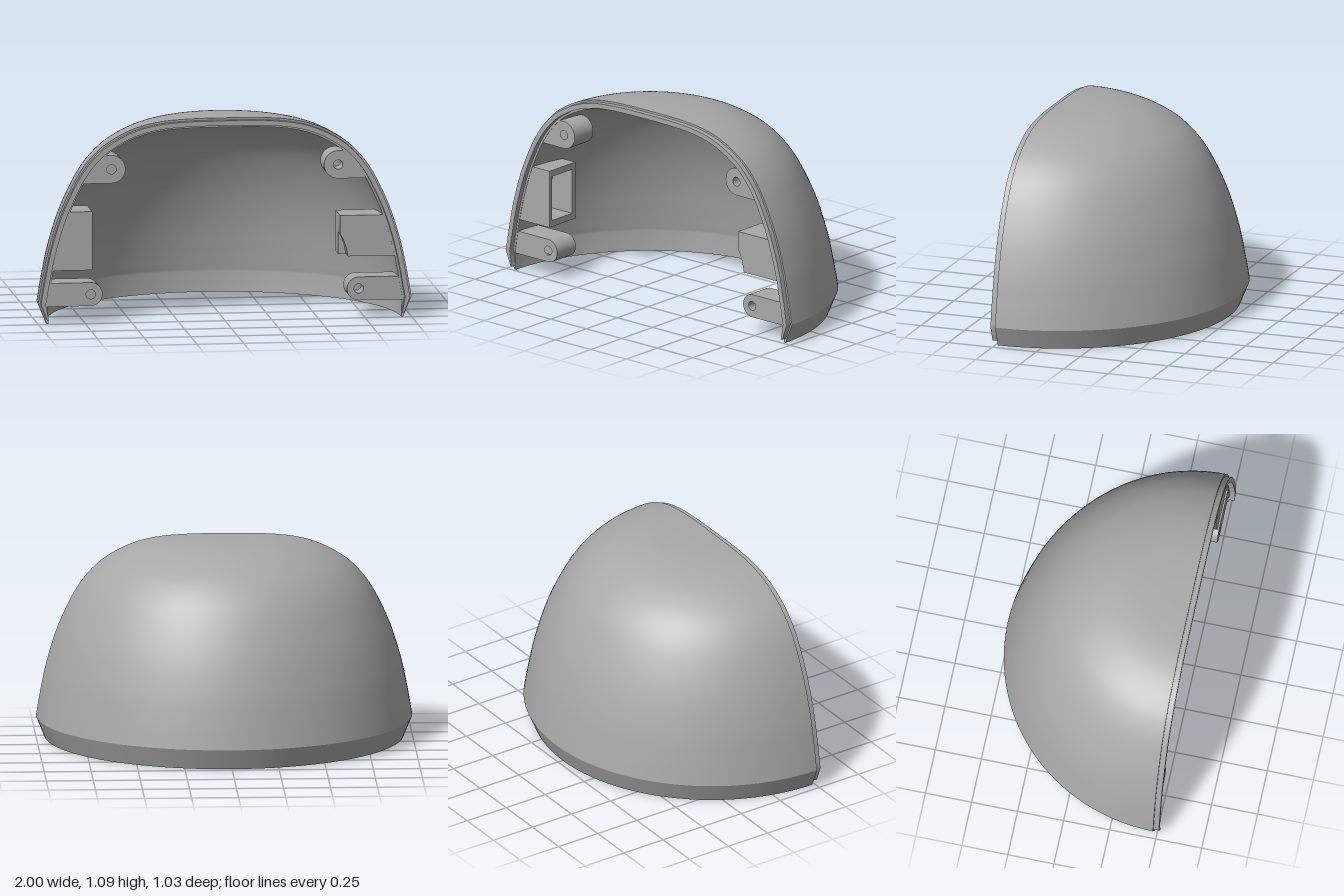
import * as THREE from 'three';
import { toCreasedNormals } from 'three/addons/utils/BufferGeometryUtils.js';

const V = (x, y) => new THREE.Vector2(x, y);

// Outer dome profile (radius, height), from the widest point up to the crown
const dome = new THREE.SplineCurve([
  [1, 0.11], [0.976, 0.25], [0.942, 0.41], [0.88, 0.605], [0.785, 0.8], [0.685, 0.923],
  [0.585, 0.995], [0.485, 1.042], [0.39, 1.068], [0.29, 1.082], [0.15, 1.089], [0, 1.09],
].map(p => V(...p))).getPoints(48);

// Dome profile moved inward by d
function inset(d) {
  return dome.map((p, i) => {
    if (i === dome.length - 1) return V(0, p.y - d);
    const a = dome[Math.max(i - 1, 0)], b = dome[i + 1];
    const t = b.clone().sub(a).normalize();
    return V(Math.max(p.x - t.y * d, 0), i === 0 ? p.y : p.y + t.x * d);
  });
}

// Radius inside the wall thickness at height y
function wallRadius(y) {
  if (y <= 0.11) return 0.955 + 0.02 * y / 0.11;
  for (let i = 1; i < dome.length; i++) {
    const a = dome[i - 1], b = dome[i];
    if (y <= b.y) return a.x + (b.x - a.x) * (y - a.y) / (b.y - a.y) - 0.02;
  }
  return 0;
}

// Closed band between two half profiles, mirrored over the top
function archShape(outer, inner) {
  const mirror = pts => pts.slice(0, -1).reverse().map(p => V(-p.x, p.y));
  return new THREE.Shape([...outer, ...mirror(outer), ...[...inner, ...mirror(inner)].reverse()]);
}

// Extrude backwards from z = front, trimming the outer end to the curved wall
function fitted(shape, front, depth) {
  const g = new THREE.ExtrudeGeometry(shape, { depth, bevelEnabled: false, curveSegments: 20 });
  g.translate(0, 0, front - depth);
  const p = g.attributes.position;
  for (let i = 0; i < p.count; i++) {
    const r = wallRadius(p.getY(i)), z = p.getZ(i), x = p.getX(i);
    const limit = Math.sqrt(Math.max(r * r - z * z, 0));
    p.setX(i, Math.sign(x) * Math.min(Math.abs(x), limit));
  }
  return toCreasedNormals(g, 0.6);
}

// Points up the wall from y0 to y1 on side s
function wallEdge(s, y0, y1) {
  return Array.from({ length: 9 }, (_, i) => {
    const y = y0 + (y1 - y0) * i / 8;
    return V(s * wallRadius(y), y);
  });
}

// Block from x0 outwards to the wall
const blockShape = (s, x0, y0, y1) =>
  new THREE.Shape([V(s * x0, y0), ...wallEdge(s, y0, y1), V(s * x0, y1)]);

// Round-ended screw boss outline
function bossShape(s, cx, cy, r, hole) {
  const arc = Array.from({ length: 21 }, (_, i) => {
    const a = Math.PI / 2 + Math.PI * i / 20;
    return V(s * (cx + r * Math.cos(a)), cy + r * Math.sin(a));
  });
  const shape = new THREE.Shape([...arc, ...wallEdge(s, cy - r, cy + r)]);
  if (hole) shape.holes.push(new THREE.Path().absarc(s * cx, cy, hole, 0, Math.PI * 2, true));
  return shape;
}

export function createModel() {
  const group = new THREE.Group();
  const grey = new THREE.MeshStandardMaterial({ color: 0xa8a8a8 });
  grey.name = 'grey';
  const body = new THREE.Group();
  body.name = 'halfDomeCover';
  body.position.z = 0.485;
  group.add(body);
  const add = (name, geometry) => {
    const m = new THREE.Mesh(geometry, grey);
    m.name = name;
    body.add(m);
  };
  const halfTurn = pts => new THREE.LatheGeometry(pts, 72, Math.PI / 2, Math.PI);

  // Shell: outer dome, bevelled foot, inner wall and thin bottom edge
  const inner = [V(0.945, 0), ...inset(0.05)];
  add('outerDome', halfTurn(dome));
  add('bevelledFoot', halfTurn([V(0.955, 0), V(1, 0.11)]));
  add('innerWall', halfTurn([...inner].reverse()));
  add('bottomEdge', halfTurn([V(0.945, 0), V(0.955, 0)]));

  // Flat front rim with a raised locating lip
  add('frontRim', new THREE.ShapeGeometry(archShape([V(0.955, 0), ...dome], inner)));
  const lip = archShape([V(0.957, 0.025), ...inset(0.011)], [V(0.947, 0.025), ...inset(0.038)]);
  add('locatingLip', toCreasedNormals(
    new THREE.ExtrudeGeometry(lip, { depth: 0.03, bevelEnabled: false }), 0.6));

  // Screw bosses with blind holes, two on each side
  for (const s of [-1, 1]) {
    for (const [name, cx, cy, r] of [['upperBoss', 0.607, 0.825, 0.075], ['lowerBoss', 0.718, 0.155, 0.063]]) {
      add(name, fitted(bossShape(s, cx, cy, r, 0.025), -0.002, 0.1));
      add(name + 'Back', fitted(bossShape(s, cx, cy, r), -0.102, 0.05));
    }
  }

  // Hollow pocket opening towards the middle
  const y0 = 0.285, y1 = 0.6, t = 0.035;
  add('pocketTop', fitted(blockShape(-1, 0.71, y1 - t, y1), -0.002, 0.21));
  add('pocketBottom', fitted(blockShape(-1, 0.71, y0, y0 + t), -0.002, 0.21));
  add('pocketFront', fitted(blockShape(-1, 0.71, y0 + t, y1 - t), -0.002, 0.022));
  add('pocketBack', fitted(blockShape(-1, 0.71, y0 + t, y1 - t), -0.185, 0.027));

  // Solid latch block with a curved corner cut in its front
  const notched = new THREE.Shape([
    V(0.66, 0.33), ...wallEdge(1, 0.33, 0.55), V(0.618, 0.55),
    V(0.618, 0.45), V(0.636, 0.42), V(0.65, 0.38),
  ]);
  add('latchFront', fitted(notched, -0.002, 0.08));
  add('latchBlock', fitted(blockShape(1, 0.618, 0.33, 0.55), -0.082, 0.11));
  return group;
}
